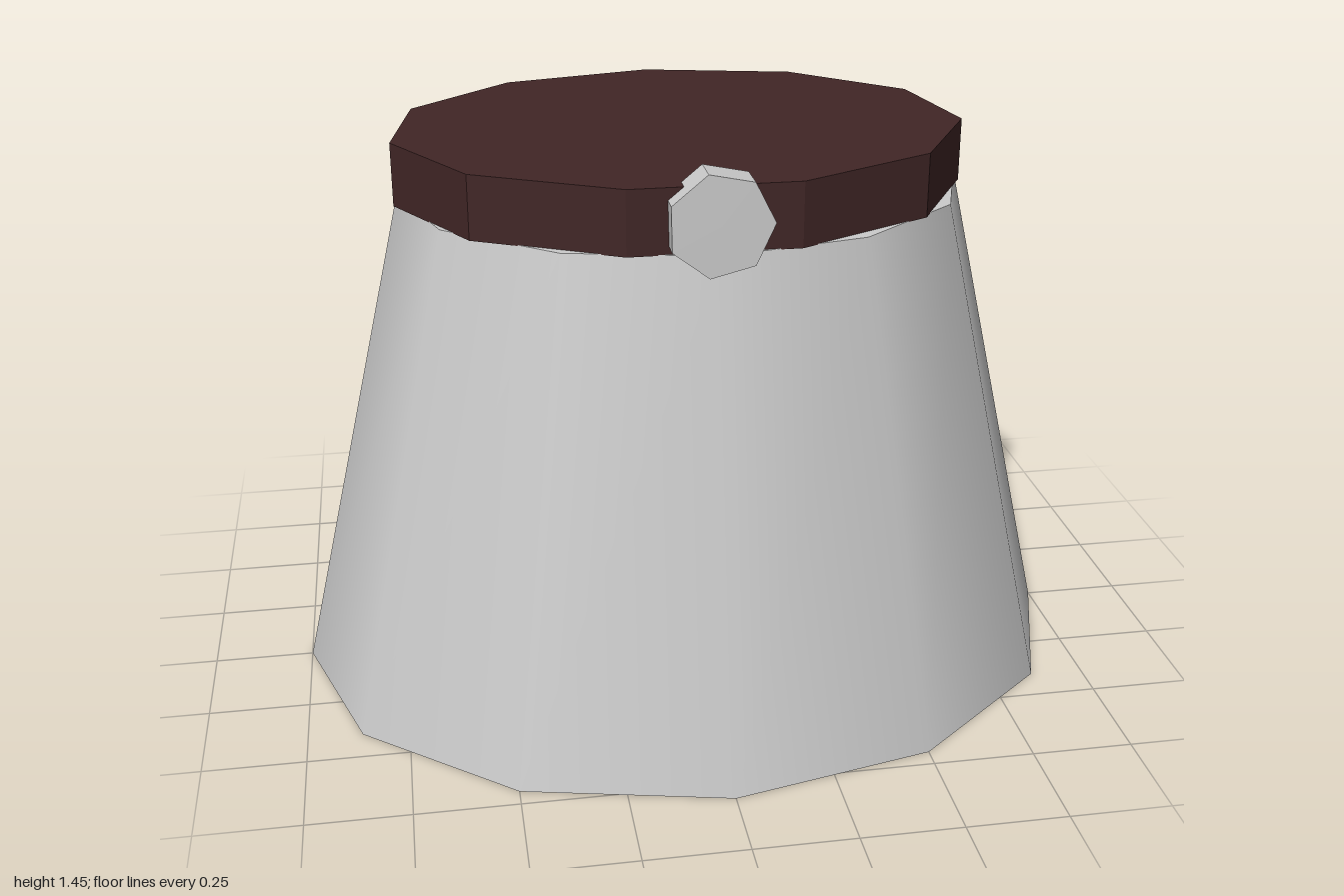
import * as THREE from 'three';

const grey = new THREE.MeshStandardMaterial({ color: 0xcccccc });
const brown = new THREE.MeshStandardMaterial({ color: 0x412626, flatShading: true });
const greyFlat = new THREE.MeshStandardMaterial({ color: 0xcccccc, flatShading: true });

function part(name, geometry, material) {
  const mesh = new THREE.Mesh(geometry, material);
  mesh.name = name;
  return mesh;
}

export function createModel() {
  const group = new THREE.Group();
  group.name = 'beltedSkirt';

  // Oval flared skirt, smooth around, closed at both ends
  const skirtHeight = 1.262;
  const skirt = part('skirt', new THREE.CylinderGeometry(0.7, 1, skirtHeight, 12), grey);
  skirt.scale.z = 0.81;
  skirt.position.y = skirtHeight / 2;
  group.add(skirt);

  // Eleven-sided belt with one corner at the middle of the back
  const belt = part('belt', new THREE.CylinderGeometry(0.705, 0.705, 0.155, 11, 1, false, Math.PI), brown);
  belt.scale.z = 0.56 / 0.705;
  belt.position.set(-0.01, 1.3375, 0);
  group.add(belt);

  // Seven-sided buckle disc facing forward
  const buckleGeometry = new THREE.CylinderGeometry(0.122, 0.122, 0.083, 7);
  buckleGeometry.rotateX(Math.PI / 2); // axis to z, first corner pointing down
  buckleGeometry.rotateZ(THREE.MathUtils.degToRad(-11.7));
  const buckle = part('buckle', buckleGeometry, greyFlat);
  buckle.position.set(-0.005, 1.335, 0.542);
  group.add(buckle);

  return group;
}
